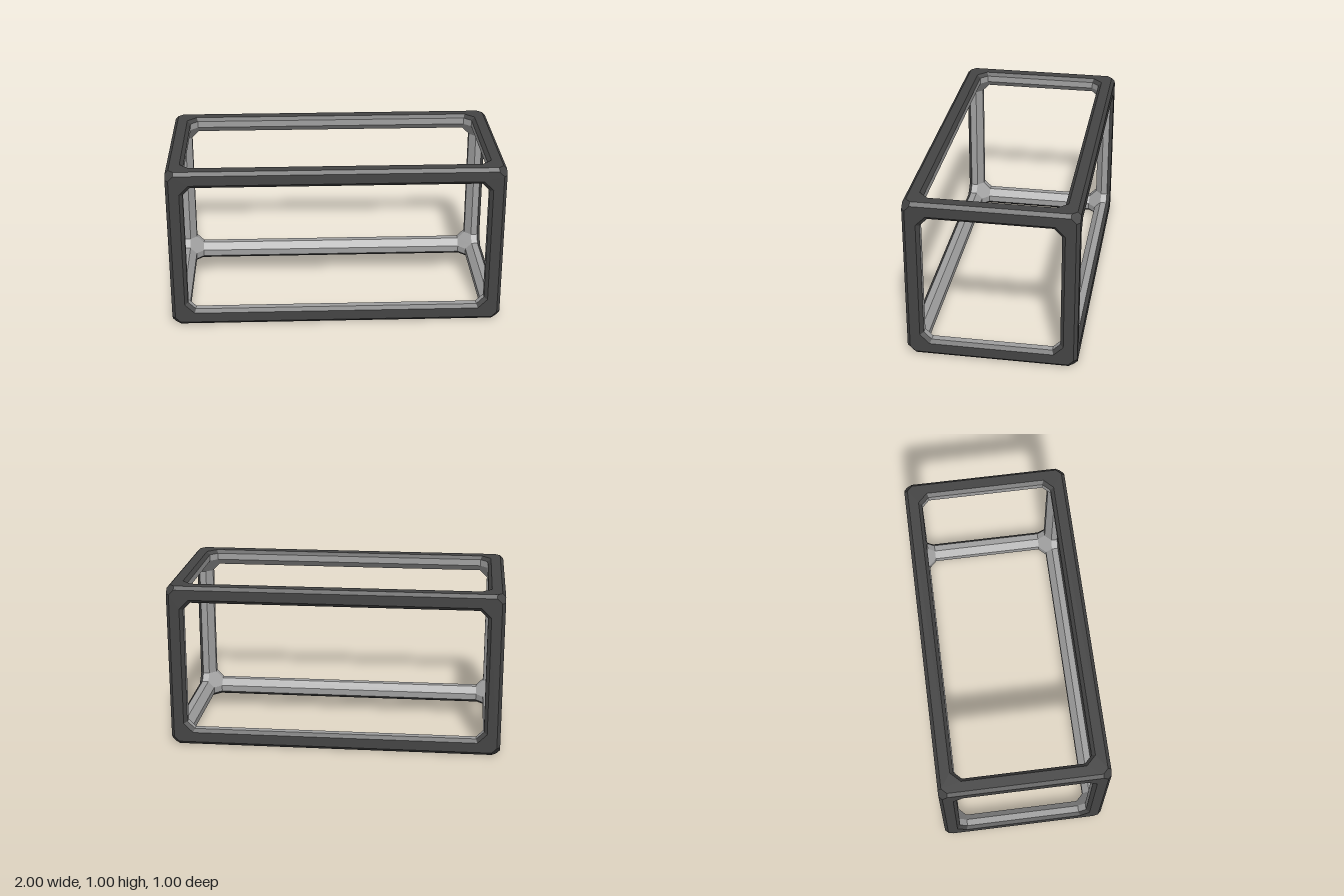
import * as THREE from 'three';

const HALF = [1, 0.5, 0.5];
const QUADRANTS = [[1, 1], [-1, 1], [-1, -1], [1, -1]];
const OCTANTS = QUADRANTS.flatMap(([x, y]) => [[x, y, 1], [x, y, -1]]);

// Point given by its inset from the box sides, measured from the corner with these signs
const inset = (signs, d) =>
  new THREE.Vector3(...signs.map((s, i) => s * (HALF[i] - d[i])));

// Puts values given in (axis, next, nextNext) order back into x, y, z order
function ordered(axis, a, b, c) {
  const out = [0, 0, 0];
  out[axis] = a;
  out[(axis + 1) % 3] = b;
  out[(axis + 2) % 3] = c;
  return out;
}

// Eight-sided ring on one box side: depth below it, inset p, corner inset q
function octagon(axis, side, depth, p, q) {
  return QUADRANTS.flatMap(([s, t]) => {
    const signs = ordered(axis, side, s, t);
    const pair = [[p, q], [q, p]].map(([b, c]) => inset(signs, ordered(axis, depth, b, c)));
    return s * t > 0 ? pair : pair.reverse();
  });
}

// Adds a convex polygon, turned to face along the hint
function addPoly(list, pts, hint) {
  const n = pts[1].clone().sub(pts[0]).cross(pts[2].clone().sub(pts[0]));
  const p = n.dot(hint) < 0 ? [...pts].reverse() : pts;
  for (let i = 1; i < p.length - 1; i++) {
    for (const v of [p[0], p[i], p[i + 1]]) list.push(v.x, v.y, v.z);
  }
}

function addBand(list, A, B, hintFor) {
  A.forEach((a, i) => {
    const j = (i + 1) % A.length;
    const quad = [a, A[j], B[j], B[i]];
    addPoly(list, quad, hintFor(quad));
  });
}

function makeMesh(name, list, color) {
  const g = new THREE.BufferGeometry();
  g.setAttribute('position', new THREE.Float32BufferAttribute(list, 3));
  g.computeVertexNormals();
  g.translate(0, HALF[1], 0);
  const m = new THREE.Mesh(g, new THREE.MeshStandardMaterial({ color, flatShading: true }));
  m.name = name;
  return m;
}

export function createModel() {
  const shell = [], bevels = [], lining = [];

  for (let axis = 0; axis < 3; axis++) {
    for (const side of [1, -1]) {
      const out = new THREE.Vector3(...ordered(axis, side, 0, 0));
      const rim = octagon(axis, side, 0, 0.02, 0.05);
      const lip = octagon(axis, side, 0, 0.08, 0.137);
      const mouth = octagon(axis, side, 0.02, 0.1, 0.145);
      const throat = octagon(axis, side, 0.06, 0.1, 0.145);
      // Flat face, bevel around the opening, then the opening's walls
      addBand(shell, rim, lip, () => out);
      addBand(bevels, lip, mouth, () => out);
      addBand(lining, mouth, throat, (q) => {
        const inward = q[0].clone().add(q[1]).negate();
        inward.setComponent(axis, 0);
        return inward;
      });
    }

    // Chamfers along the four beams that run on this axis
    for (const [s, t] of QUADRANTS) {
      const strip = (end, p, q) => [1, -1].flatMap((r) => {
        const signs = ordered(axis, r, s, t);
        const pair = [[p, q], [q, p]].map(([b, c]) => inset(signs, ordered(axis, end, b, c)));
        return r > 0 ? pair : pair.reverse();
      });
      const out = new THREE.Vector3(...ordered(axis, 0, s, t));
      addPoly(shell, strip(0.05, 0, 0.02), out);
      addPoly(lining, strip(0.145, 0.06, 0.1), out.clone().negate());
    }
  }

  // Six-sided facets on the outside and inside of every corner
  for (const signs of OCTANTS) {
    const hexagon = (a, b, c) =>
      [[a, b, c], [a, c, b], [b, c, a], [c, b, a], [c, a, b], [b, a, c]].map((d) => inset(signs, d));
    const out = new THREE.Vector3(...signs);
    addPoly(shell, hexagon(0, 0.02, 0.05), out);
    addPoly(lining, hexagon(0.06, 0.1, 0.145), out.clone().negate());
  }

  const group = new THREE.Group();
  group.name = 'boxFrame';
  group.add(
    makeMesh('outerFrame', shell, 0x444444),
    makeMesh('openingBevels', bevels, 0x444444),
    makeMesh('innerLining', lining, 0xa0a0a0),
  );
  return group;
}
